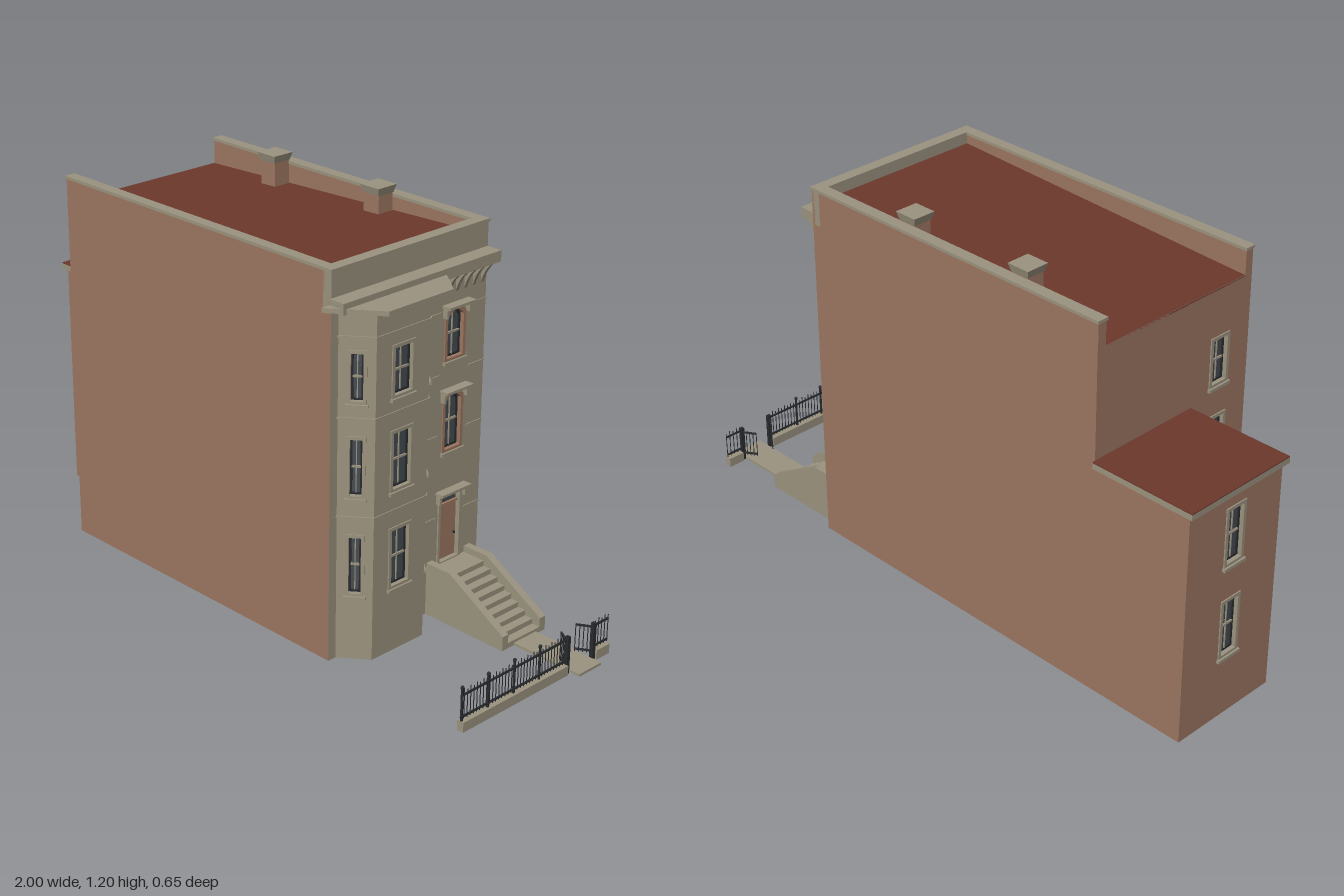
import * as THREE from 'three';

const mat = (name, color) => {
  const m = new THREE.MeshStandardMaterial({ color, side: THREE.DoubleSide, flatShading: true });
  m.name = name;
  return m;
};

export function createModel() {
  const root = new THREE.Group();
  root.name = 'townhouse';
  const brick = mat('brick', 0x9c7661);
  const stone = mat('stone', 0x9b937f);
  const red = mat('roofRed', 0x6d382c);
  const glass = mat('glass', 0x454c53);
  const iron = mat('iron', 0x282b2e);

  const mesh = (name, geo, m, parent = root) => {
    const o = new THREE.Mesh(geo, m);
    o.name = name;
    parent.add(o);
    return o;
  };
  // box given by its limits
  const box = (name, m, x0, x1, y0, y1, z0, z1, parent = root) => {
    const o = mesh(name, new THREE.BoxGeometry(x1 - x0, y1 - y0, z1 - z0), m, parent);
    o.position.set((x0 + x1) / 2, (y0 + y1) / 2, (z0 + z1) / 2);
    return o;
  };
  // flat plan outline [x, z] raised from y by h
  const slab = (name, m, pts, y, h) => {
    const s = new THREE.Shape(pts.map(([x, z]) => new THREE.Vector2(x, -z)));
    const g = new THREE.ExtrudeGeometry(s, { depth: h, bevelEnabled: false });
    g.rotateX(-Math.PI / 2);
    mesh(name, g, m).position.y = y;
  };
  // outline of an opening, grown by e, with an optional arched head
  const outline = (P, { x, y, w, h, arch }, e = 0) => {
    const p = new P(), l = x - w / 2 - e, r = x + w / 2 + e, b = y - e, t = y + h + e;
    const rise = arch ? 0.02 : 0;
    p.moveTo(l, b);
    p.lineTo(r, b);
    p.lineTo(r, t - rise);
    if (arch) p.quadraticCurveTo(x, t + rise, l, t - rise);
    else p.lineTo(l, t);
    p.closePath();
    return p;
  };
  const ring = (o, outer, inner, depth) => {
    const s = outline(THREE.Shape, o, outer);
    s.holes.push(outline(THREE.Path, o, inner));
    return new THREE.ExtrudeGeometry(s, { depth, bevelEnabled: false, curveSegments: 8 });
  };

  // sash window set back in its opening
  const addWindow = (o, parent) => {
    const g = new THREE.Group();
    g.name = 'window';
    parent.add(g);
    const { x, y, w, h } = o;
    const m = o.frame || stone;
    mesh('windowFrame', ring(o, 0.006, -0.004, 0.022), m, g).position.z = -0.018;
    mesh('sash', ring(o, -0.004, -0.01, 0.005), iron, g).position.z = -0.014;
    mesh('glass', new THREE.ShapeGeometry(outline(THREE.Shape, o, -0.003), 8), glass, g).position.z = -0.013;
    box('meetingRail', stone, x - w / 2 + 0.008, x + w / 2 - 0.008, y + h * 0.5 - 0.003, y + h * 0.5 + 0.003, -0.013, -0.008, g);
    box('glazingBar', stone, x - 0.0015, x + 0.0015, y + 0.008, y + h - 0.008, -0.013, -0.009, g);
    box('sill', m === brick ? stone : m, x - w / 2 - 0.01, x + w / 2 + 0.01, y - 0.014, y - 0.004, -0.01, 0.01, g);
    if (o.hood) addHood(x, y + h + 0.01, w, g);
  };
  // projecting hood on two small brackets
  const addHood = (x, y, w, parent) => {
    box('hood', stone, x - w / 2 - 0.018, x + w / 2 + 0.018, y, y + 0.008, 0, 0.03, parent);
    box('hoodBed', stone, x - w / 2 - 0.012, x + w / 2 + 0.012, y - 0.006, y, 0, 0.018, parent);
    for (const s of [-1, 1]) {
      const c = x + s * (w / 2 + 0.01);
      box('hoodBracket', stone, c - 0.004, c + 0.004, y - 0.03, y - 0.006, 0, 0.016, parent);
    }
  };
  // wall from a to b [x, z] facing right of travel, with holes cut for openings
  const wall = (name, m, a, b, y0, y1, openings = []) => {
    const g = new THREE.Group();
    g.name = name;
    const dx = b[0] - a[0], dz = b[1] - a[1], len = Math.hypot(dx, dz);
    g.position.set(a[0], 0, a[1]);
    g.rotation.y = Math.atan2(-dz, dx);
    const s = outline(THREE.Shape, { x: len / 2, y: y0, w: len, h: y1 - y0 });
    for (const o of openings) {
      s.holes.push(outline(THREE.Path, o));
      if (!o.door) addWindow(o, g);
    }
    mesh(name + 'Face', new THREE.ShapeGeometry(s, 8), m, g);
    root.add(g);
    return g;
  };

  const floors = [[0.205, 0.18], [0.505, 0.175], [0.785, 0.145]];
  const column = (x, w, n = 3) => floors.slice(0, n).map(([y, h]) => ({ x, y, w, h }));

  // main block, open below
  wall('sideWall', brick, [-0.655, 0.29], [0.46, 0.29], 0, 1.16);
  wall('partyWall', brick, [0.46, -0.32], [-0.655, -0.32], 0, 1.16);
  wall('rearWall', brick, [-0.655, 0.05], [-0.655, 0.29], 0, 1.085, column(0.12, 0.065));
  wall('rearWallUpper', brick, [-0.655, -0.32], [-0.655, 0.05], 0.735, 1.085);

  // roof falling towards the rear, with parapets on three sides
  const roof = box('mainRoof', red, -0.655, 0.43, 1.08, 1.084, -0.29, 0.262);
  const rp = roof.geometry.attributes.position;
  for (let i = 0; i < rp.count; i++) if (rp.getX(i) > 0) rp.setY(i, rp.getY(i) + 0.045);
  for (const [z0, z1] of [[-0.319, -0.29], [0.262, 0.289]]) {
    box('sideParapet', brick, -0.655, 0.43, 1.07, 1.158, z0, z1);
    box('sideCoping', stone, -0.658, 0.463, 1.158, 1.167, z0 - 0.004, z1 + 0.004);
  }
  box('frontParapet', stone, 0.43, 0.461, 1.05, 1.158, -0.32, 0.29);
  box('frontCoping', stone, 0.427, 0.464, 1.158, 1.167, -0.323, 0.293);
  for (const x of [-0.343, 0.092]) {
    box('chimney', brick, x - 0.03, x + 0.03, 1.08, 1.172, -0.287, -0.23);
    const cap = mesh('chimneyCap', new THREE.CylinderGeometry(0.053, 0.044, 0.024, 4, 1, false, Math.PI / 4), stone);
    cap.position.set(x, 1.183, -0.258);
  }

  // rear extension
  wall('extensionSide', brick, [-0.985, 0.05], [-0.655, 0.05], 0, 0.735, [...column(0.105, 0.066, 2), ...column(0.245, 0.066, 2)]);
  wall('extensionRear', brick, [-0.985, -0.32], [-0.985, 0.05], 0, 0.735, column(0.185, 0.066, 2));
  wall('extensionPartyWall', brick, [-0.655, -0.32], [-0.985, -0.32], 0, 0.735);
  box('extensionEave', stone, -1, -0.655, 0.73, 0.748, -0.33, 0.06);
  box('extensionRoof', red, -1, -0.655, 0.748, 0.751, -0.33, 0.06);

  // stone front: entrance side and bay
  const fx = 0.125;
  const door = { x: fx, y: 0.148, w: 0.085, h: 0.212, door: true };
  const entry = wall('entranceFront', stone, [0.46, -0.07], [0.46, -0.32], 0, 1.06, [
    door,
    { x: fx, y: 0.505, w: 0.072, h: 0.175, arch: true, hood: true, frame: brick },
    { x: fx, y: 0.785, w: 0.072, h: 0.15, arch: true, hood: true, frame: brick },
  ]);
  mesh('doorFrame', ring(door, 0.006, -0.003, 0.025), stone, entry).position.z = -0.02;
  box('door', brick, fx - 0.04, fx + 0.04, 0.148, 0.325, -0.018, -0.01, entry);
  box('transomBar', brick, fx - 0.04, fx + 0.04, 0.325, 0.332, -0.018, -0.004, entry);
  box('transomGlass', glass, fx - 0.04, fx + 0.04, 0.332, 0.358, -0.016, -0.012, entry);
  box('doorKnob', iron, fx + 0.03, fx + 0.034, 0.22, 0.227, -0.01, -0.004, entry);
  addHood(fx, 0.374, 0.085, entry);
  for (const y of [0.297, 0.557, 0.742, 0.93])
    for (const [a, b] of [[0, fx - 0.06], [fx + 0.06, 0.25]])
      box('stoneCourse', stone, a, b, y, y + 0.005, 0, 0.003, entry);

  wall('frontReturn', stone, [0.46, 0.29], [0.46, 0.262], 0, 1.06);
  const bay = [[0.46, 0.262], [0.54, 0.198], [0.54, -0.008], [0.46, -0.07]];
  for (let i = 0; i < 3; i++) {
    const len = Math.hypot(bay[i + 1][0] - bay[i][0], bay[i + 1][1] - bay[i][1]);
    wall('bayWall', stone, bay[i], bay[i + 1], 0, 1.06, column(len / 2, i === 1 ? 0.076 : 0.042));
  }
  for (const y of [0.44, 0.735, 0.97])
    slab('bayBand', stone, [[0.46, 0.267], [0.543, 0.201], [0.543, -0.011], [0.46, -0.075]], y, 0.006);

  // cornices and brackets
  slab('bayCornice', stone, [[0.46, 0.325], [0.6, 0.215], [0.6, -0.03], [0.51, -0.1], [0.46, -0.1]], 1.055, 0.014);
  box('mainCornice', stone, 0.46, 0.512, 1.053, 1.086, -0.32, 0.295);
  const corbel = new THREE.Shape();
  corbel.moveTo(0, 0);
  corbel.quadraticCurveTo(0.012, 0.045, 0.045, 0.07);
  corbel.lineTo(0, 0.07);
  const corbelGeo = new THREE.ExtrudeGeometry(corbel, { depth: 0.012, bevelEnabled: false });
  for (let i = 0; i < 5; i++)
    mesh('corniceBracket', corbelGeo, stone).position.set(0.46, 0.983, -0.172 - i * 0.0345);

  // stoop
  const cheek = new THREE.Shape([[0.46, 0], [0.76, 0], [0.76, 0.045], [0.55, 0.167], [0.46, 0.167]].map(p => new THREE.Vector2(...p)));
  const cheekGeo = new THREE.ExtrudeGeometry(cheek, { depth: 0.024, bevelEnabled: false });
  for (const z of [-0.129, -0.289]) mesh('stoopSide', cheekGeo, stone).position.z = z;
  box('stoopLanding', stone, 0.45, 0.54, 0.128, 0.147, -0.265, -0.129);
  for (let i = 0; i < 8; i++) {
    const x = 0.54 + i * 0.0275, y = 0.131 - i * 0.0163;
    box('step', stone, x - 0.01, x + 0.0275, Math.max(0, y - 0.0165), y, -0.265, -0.129);
  }
  box('path', stone, 0.76, 1, 0, 0.008, -0.25, -0.155);

  // iron fence on a stone curb
  const rod = (name, x, z, y0, y1, r) => {
    mesh(name, new THREE.CylinderGeometry(r, r, y1 - y0, 5), iron).position.set(x, (y0 + y1) / 2, z);
  };
  const railing = (a, b, y0, y1, spikes) => {
    const dx = b[0] - a[0], dz = b[1] - a[1], len = Math.hypot(dx, dz), n = Math.round(len / 0.0125);
    for (const y of [y0 + 0.008, y1 - 0.012]) {
      const r = mesh('fenceRail', new THREE.BoxGeometry(len, 0.005, 0.005), iron);
      r.position.set((a[0] + b[0]) / 2, y, (a[1] + b[1]) / 2);
      r.rotation.y = Math.atan2(-dz, dx);
    }
    for (let i = 0; i <= n; i++)
      rod('baluster', a[0] + dx * i / n, a[1] + dz * i / n, y0, spikes ? y1 + (i % 2) * 0.006 : y1 - 0.01, 0.0014);
  };
  const post = (z, y) => {
    rod('fencePost', 0.962, z, 0, y, 0.004);
    mesh('postFinial', new THREE.SphereGeometry(0.006, 6, 4), iron).position.set(0.962, y, z);
  };
  for (const [z0, z1] of [[-0.138, 0.292], [-0.318, -0.262]]) {
    box('curb', stone, 0.951, 0.973, 0, 0.03, z0, z1);
    railing([0.962, z0], [0.962, z1], 0.034, 0.12, true);
  }
  for (const z of [0.288, 0.185, 0.08, -0.025]) post(z, 0.132);
  for (const [z, s] of [[-0.143, -1], [-0.255, 1]]) {
    box('gatePost', iron, 0.956, 0.968, 0, 0.117, z - 0.006, z + 0.006);
    railing([0.957, z], [0.918, z + s * 0.024], 0.018, 0.115, false);
  }
  return root;
}
